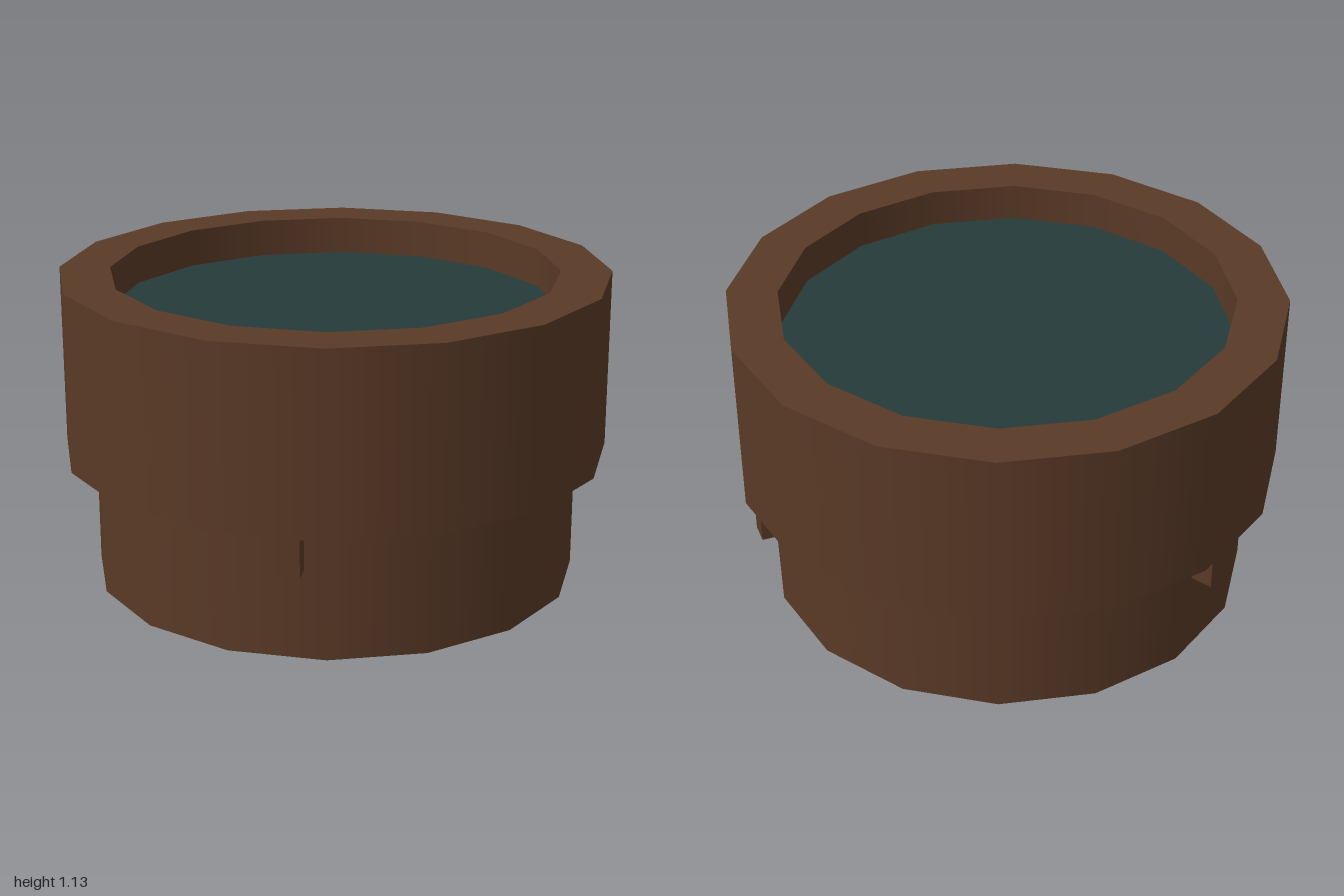
import * as THREE from 'three';

const SIDES = 16;
const OUTER = 1, BASE = 0.89, INNER = 0.815;
const STEP_Y = 0.475, TOP_Y = 1.13, GLASS_Y = 0.99;

export function createModel() {
  const brown = new THREE.MeshStandardMaterial({ name: 'brown', color: 0x5a3a27, side: THREE.DoubleSide });
  const teal = new THREE.MeshStandardMaterial({ name: 'darkTeal', color: 0x263b3b, side: THREE.DoubleSide });
  const model = new THREE.Group();
  model.name = 'cap';

  const add = (name, geometry, material) => {
    const mesh = new THREE.Mesh(geometry, material);
    mesh.name = name;
    model.add(mesh);
    return mesh;
  };

  // Open-ended wall between two heights
  const wall = (name, radius, y0, y1, inward) => {
    const geometry = new THREE.CylinderGeometry(radius, radius, y1 - y0, SIDES, 1, true);
    if (inward) geometry.scale(-1, 1, 1).rotateY(0);
    if (inward) {
      // Turn the wall to face the axis
      const index = geometry.index.array;
      const normal = geometry.attributes.normal;
      geometry.scale(-1, 1, 1);
      for (let i = 0; i < index.length; i += 3) [index[i], index[i + 1]] = [index[i + 1], index[i]];
      for (let i = 0; i < normal.count; i++) normal.setXYZ(i, -normal.getX(i), 0, -normal.getZ(i));
    }
    geometry.translate(0, (y0 + y1) / 2, 0);
    return add(name, geometry, brown);
  };

  // Flat ring facing up or down
  const ring = (name, inner, outer, y, up) =>
    add(name, new THREE.RingGeometry(inner, outer, SIDES, 1)
      .rotateX(up ? -Math.PI / 2 : Math.PI / 2).translate(0, y, 0), brown);

  // Hollow stepped body, open at the bottom
  wall('lowerSleeve', BASE, 0, STEP_Y, false);
  wall('upperBand', OUTER, STEP_Y, TOP_Y, false);
  wall('innerRim', INNER, GLASS_Y, TOP_Y, true);
  ring('stepUnderside', BASE, OUTER, STEP_Y, false);
  ring('topRim', INNER, OUTER, TOP_Y, true);

  // Recessed disc
  add('disc', new THREE.CircleGeometry(INNER, SIDES).rotateX(-Math.PI / 2).translate(0, GLASS_Y, 0), teal);

  // Three locking lugs around the sleeve
  for (let i = 0; i < 3; i++) {
    const lug = add('lockingLug', new THREE.BoxGeometry(0.085, 0.15, 0.08).translate(0.9175, 0.4, 0), brown);
    lug.rotation.y = (i * Math.PI * 2) / 3;
  }

  return model;
}
